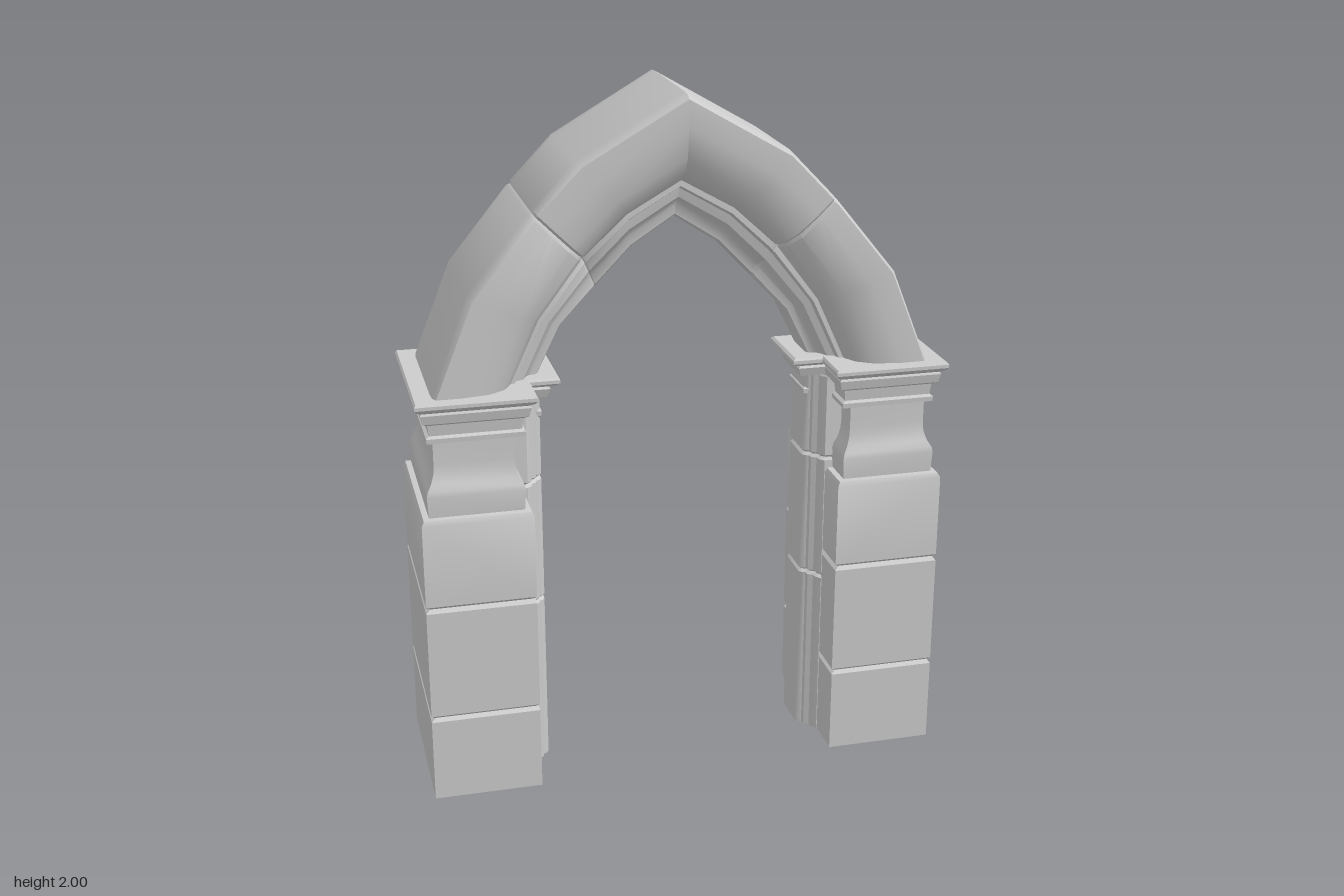
import * as THREE from 'three';
import { toCreasedNormals } from 'three/addons/utils/BufferGeometryUtils.js';

const material = new THREE.MeshStandardMaterial({ color: 0xcccccc, side: THREE.DoubleSide });

// Skin closed rings of [x, y, z] from bottom to top; side = -1 mirrors in x
function loft(name, rings, side, capTop = false, crease = 0.65) {
  const n = rings[0].length;
  const index = [];
  const tri = (a, b, c) => (side > 0 ? index.push(a, b, c) : index.push(a, c, b));
  for (let r = 0; r < rings.length - 1; r++) {
    for (let i = 0; i < n; i++) {
      const a = r * n + i, b = r * n + ((i + 1) % n);
      tri(a, b, b + n);
      tri(a, b + n, a + n);
    }
  }
  if (capTop) {
    const top = rings.length - 1;
    const flat = rings[top].map(([x, , z]) => new THREE.Vector2(x, -z));
    for (const [a, b, c] of THREE.ShapeUtils.triangulateShape(flat, [])) tri(top * n + a, top * n + b, top * n + c);
  }
  const geometry = new THREE.BufferGeometry();
  const points = rings.flat().map(([x, y, z]) => [x * side, y, z]).flat();
  geometry.setAttribute('position', new THREE.Float32BufferAttribute(points, 3));
  geometry.setIndex(index);
  const mesh = new THREE.Mesh(toCreasedNormals(geometry, crease), material);
  mesh.name = name;
  return mesh;
}

// Complete a half outline [u, z] with its mirror image in z
const mirrorZ = (half) => [
  ...half.map(([u, z]) => [u, -z]),
  ...half.slice().reverse(),
];

// Arch guide lines: outside edge, main soffit, rib soffit
const guides = [
  [[0.71, 1.205], [0.6, 1.48], [0.42, 1.7], [0.295, 1.83], [0, 2]],
  [[0.485, 1.205], [0.4, 1.39], [0.275, 1.555], [0.15, 1.67], [0, 1.755]],
  [[0.395, 1.205], [0.325, 1.345], [0.225, 1.45], [0.125, 1.555], [0, 1.637]],
];

function guidePoint(line, t) {
  const i = Math.min(Math.floor(t), 3), f = t - i;
  return [0, 1].map((k) => THREE.MathUtils.lerp(guides[line][i][k], guides[line][i + 1][k], f));
}

// Point at depth a (0 outside, 1 main soffit, 2 rib soffit) and station t
function archPoint(a, t, z) {
  const line = a > 1 ? 1 : 0;
  const p = guidePoint(line, t), q = guidePoint(line + 1, t), f = a - line;
  return [p[0] + (q[0] - p[0]) * f, p[1] + (q[1] - p[1]) * f, z];
}

// One voussoir; stations are [t, pinch] with pinch < 1 at the mortar joints
function voussoir(name, half, stations, side) {
  const middle = (half[0][0] + half[half.length - 1][0]) / 2;
  const rings = stations.map(([t, pinch]) =>
    mirrorZ(half).map(([a, z]) => archPoint(middle + (a - middle) * pinch, t, z * pinch * (1 + 0.005 * t))));
  return loft(name, rings, side);
}

const mainSection = [[0, 0.165], [0.012, 0.2], [0.05, 0.216], [0.35, 0.217], [0.7, 0.204], [0.9, 0.175], [1, 0.135]];
const ribSection = [[0.9, 0.13], [1.15, 0.13], [1.22, 0.11], [1.45, 0.104], [1.56, 0.082], [1.7, 0.068], [1.93, 0.064], [2, 0.05]];
const lowerStations = [[0, 1], [1, 1], [1.96, 1], [2, 0.965]];
const upperStations = [[2, 0.965], [2.04, 1], [3, 1], [4, 1]];

// Stacked blocks, shoulder and neck of the pier: [inset, y]
const pierProfile = [
  [0, 0], [0, 0.248], [0.012, 0.257], [0, 0.267], [0, 0.59], [0.012, 0.6], [0, 0.61],
  [0, 0.855], [0.007, 0.868], [0.023, 0.87], [0.02, 0.93], [0.023, 0.945],
  [0.035, 0.965], [0.043, 0.99], [0.045, 1.02], [0.045, 1.1],
];

// Stepped capital: [overhang, y]
const capitalProfile = [
  [0, 1.08], [0.018, 1.086], [0.019, 1.1], [0.01, 1.106], [0.014, 1.138], [0.028, 1.146],
  [0.034, 1.172], [0.03, 1.178], [0.043, 1.186], [0.05, 1.194], [0.05, 1.204], [0.045, 1.21],
];

// Plan of the moulded shaft on the inner face of the pier
const shaftPlan = [[0.49, 0.12], [0.44, 0.12], [0.427, 0.108], [0.424, 0.092], [0.41, 0.084], [0.407, 0.07], [0.397, 0.066], [0.39, 0.055]];
const shaftProfile = [
  [0, 0], [0, 0.512], [0.007, 0.52], [0, 0.528], [0, 0.892], [0.007, 0.9], [0, 0.908], [0, 1.15],
];

function buildSide(side) {
  const half = new THREE.Group();
  half.name = side > 0 ? 'leftHalf' : 'rightHalf';

  half.add(loft('pier', pierProfile.map(([d, y]) => {
    const x1 = 0.755 - d, x0 = 0.442 + d, z = 0.241 - d;
    return [[x1, y, z], [x1, y, -z], [x0, y, -z], [x0, y, z]];
  }), side));

  half.add(loft('innerShaft', shaftProfile.map(([d, y]) =>
    mirrorZ(shaftPlan).map(([x, z]) => [x + d, y, z - Math.sign(z) * d])), side));

  // The capital follows both pier and shaft in a T-shaped plan
  half.add(loft('capital', capitalProfile.map(([o, y]) => {
    const s = Math.max(-0.004, (o - 0.016) * 1.5);
    const plan = [[0.71 + o, 0.198 + o], [0.475 - o, 0.198 + o], [0.475 - o, 0.064 + s], [0.39 - s, 0.064 + s]];
    return mirrorZ(plan).map(([x, z]) => [x, y, z]);
  }), side, true));

  half.add(
    voussoir('lowerArchStone', mainSection, lowerStations, side),
    voussoir('upperArchStone', mainSection, upperStations, side),
    voussoir('lowerRib', ribSection, lowerStations, side),
    voussoir('upperRib', ribSection, upperStations, side),
  );
  return half;
}

export function createModel() {
  const arch = new THREE.Group();
  arch.name = 'pointedArch';
  for (const side of [1, -1]) arch.add(buildSide(side));
  return arch;
}
